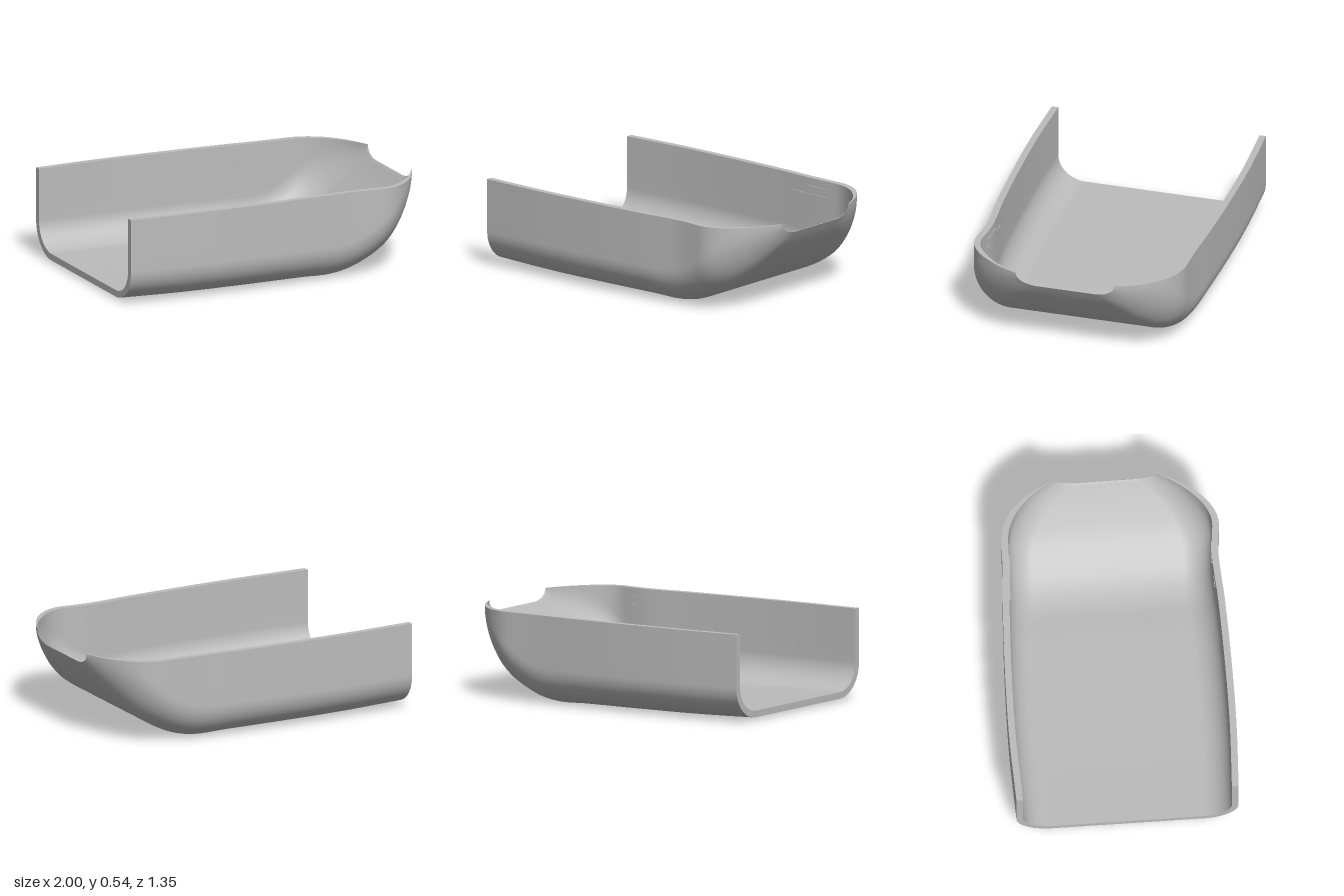
import * as THREE from 'three';

const TOP = 0.54;

// Stations along the shell: x, floor height, floor half width,
// rim half width at +z, rim half width at -z, height where the wall turns upright
const stations = [
  [-1.0, 0.02, 0.45, 0.657, 0.663, 0.22],
  [-0.6, 0.012, 0.46, 0.672, 0.678, 0.22],
  [-0.2, 0.01, 0.46, 0.67, 0.675, 0.22],
  [0.2, 0.008, 0.45, 0.657, 0.66, 0.22],
  [0.36, 0.003, 0.44, 0.645, 0.65, 0.22],
  [0.48, 0.022, 0.44, 0.64, 0.643, 0.24],
  [0.58, 0.06, 0.44, 0.648, 0.64, 0.29],
  [0.68, 0.115, 0.435, 0.655, 0.634, 0.36],
  [0.76, 0.173, 0.42, 0.63, 0.607, 0.43],
  [0.84, 0.25, 0.375, 0.57, 0.555, 0.49],
  [0.91, 0.335, 0.31, 0.485, 0.475, 0.52],
  [0.96, 0.405, 0.25, 0.4, 0.39, 0.532],
  [1.0, 0.47, 0.18, 0.31, 0.295, 0.537],
];

// Smooth interpolation of all station values at x
function sample(x) {
  let i = 0;
  while (i < stations.length - 2 && x > stations[i + 1][0]) i++;
  const p = stations[i], q = stations[i + 1];
  const h = q[0] - p[0], t = (x - p[0]) / h;
  const slope = (k, c) => {
    const a = stations[Math.max(k - 1, 0)], b = stations[Math.min(k + 1, stations.length - 1)];
    return (b[c] - a[c]) / (b[0] - a[0]);
  };
  return p.map((_, c) => c === 0 ? x :
    p[c] * (2 * t ** 3 - 3 * t * t + 1) + q[c] * (3 * t * t - 2 * t ** 3) +
    h * slope(i, c) * (t ** 3 - 2 * t * t + t) + h * slope(i + 1, c) * (t ** 3 - t * t));
}

// Wall thickness, thinning to a sharp lip at the nose
const thickness = (x) => 0.04 * Math.sqrt(Math.min(1, Math.max(0, (1 - x) / 0.15)));

// U-shaped section from the +z rim, under the floor, to the -z rim
function section(x, inset) {
  const [, b, f, wp, wn, c] = sample(x);
  const floor = b + inset, pts = [];
  const half = (w, s) => {
    const out = [];
    for (let k = 0; k < 4; k++) out.push([x, TOP + (c - TOP) * k / 4, s * w]);
    for (let k = 0; k <= 14; k++) {
      const a = k / 14 * Math.PI / 2;
      out.push([x, c - (c - floor) * Math.sin(a), s * (f + (w - f) * Math.cos(a))]);
    }
    return out;
  };
  pts.push(...half(wp - inset, 1), [x, floor, 0], ...half(wn - inset, -1).reverse());
  return pts;
}

// Surface through rows of points
function grid(rows, flip) {
  const n = rows[0].length, index = [];
  for (let i = 0; i < rows.length - 1; i++) {
    for (let j = 0; j < n - 1; j++) {
      const a = i * n + j, b = a + n;
      if (flip) index.push(a, a + 1, b, b, a + 1, b + 1);
      else index.push(a, b, a + 1, b, b + 1, a + 1);
    }
  }
  const g = new THREE.BufferGeometry();
  g.setAttribute('position', new THREE.Float32BufferAttribute(rows.flat(2), 3));
  g.setIndex(index);
  g.computeVertexNormals();
  return g;
}

export function createModel() {
  const model = new THREE.Group();
  model.name = 'openShell';
  const grey = new THREE.MeshStandardMaterial({ color: 0xbcbcbc, side: THREE.DoubleSide });
  grey.name = 'grey';
  const add = (name, geometry) => {
    const mesh = new THREE.Mesh(geometry, grey);
    mesh.name = name;
    model.add(mesh);
    return mesh;
  };

  // Sections sit closer together towards the nose
  const xs = [];
  for (let i = 0; i <= 80; i++) xs.push(-1 + 2 * (1 - (1 - i / 80) ** 1.6));
  const outer = xs.map((x) => section(x, 0));
  const inner = xs.map((x) => section(x, thickness(x)));
  const last = outer[0].length - 1;

  add('outerShell', grid(outer, true));
  add('innerShell', grid(inner, false));
  add('rearEdge', grid([outer[0], inner[0]], false));
  add('frontRim', grid(outer.map((r, i) => [r[0], inner[i][0]]), false));
  add('backRim', grid(outer.map((r, i) => [inner[i][last], r[last]]), false));

  // Fine ridges inside both walls, below the rim
  for (const s of [1, -1]) {
    for (const [x0, x1, y] of [[0.3, 0.58, 0.44], [0.43, 0.57, 0.49]]) {
      const x = (x0 + x1) / 2;
      const wall = (px) => s * (sample(px)[s > 0 ? 3 : 4] - 0.04);
      const ridge = add('wallRidge', new THREE.BoxGeometry(x1 - x0, 0.006, 0.012));
      ridge.position.set(x, y, (wall(x0) + wall(x1)) / 2);
      ridge.rotation.y = -Math.atan2(wall(x1) - wall(x0), x1 - x0);
    }
  }
  return model;
}
